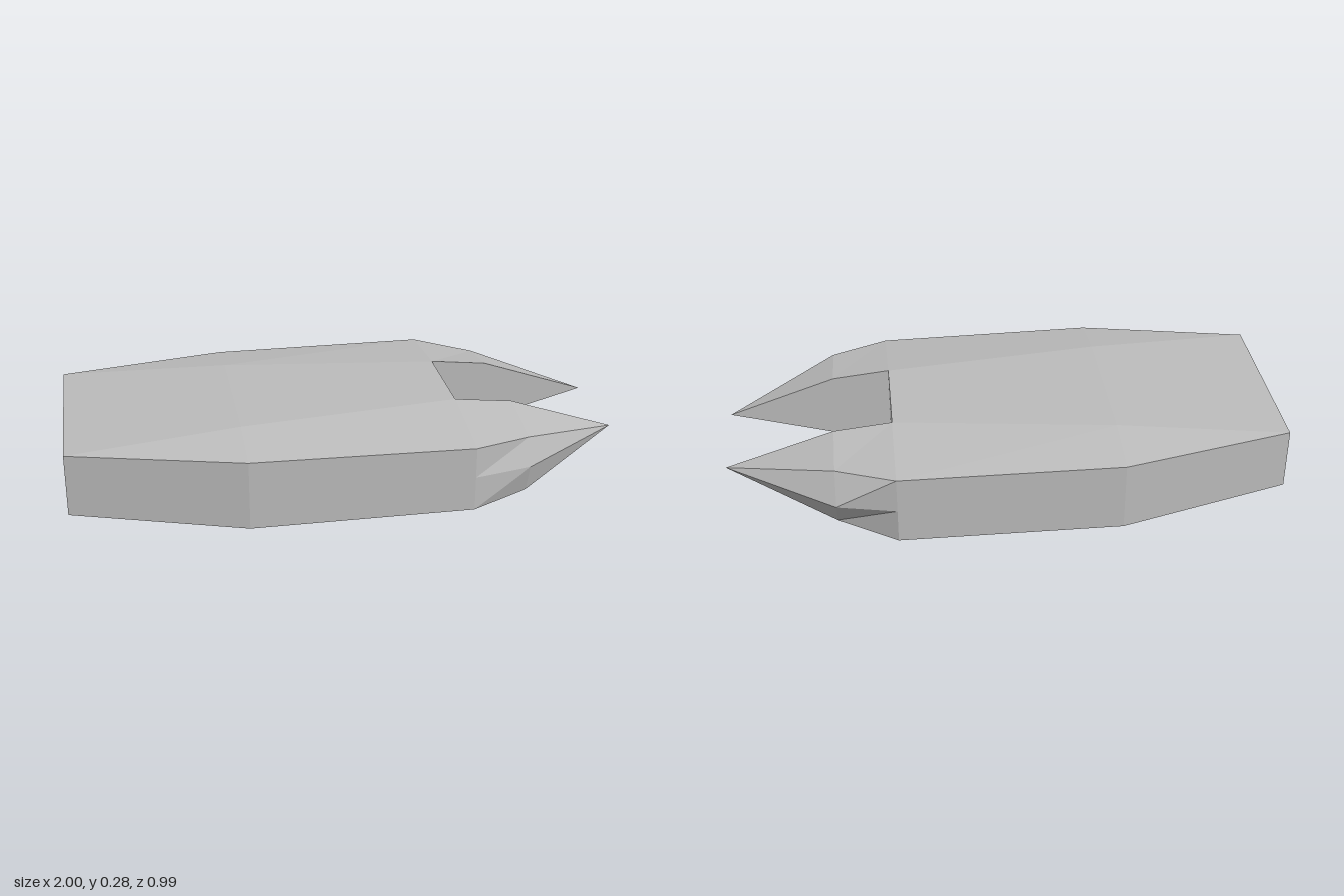
import * as THREE from 'three';

const hullGrey = new THREE.MeshStandardMaterial({ color: 0xbcbcbc, flatShading: true });
hullGrey.name = 'hullGrey';

// Skins cross-sections {x, ring: [[y, z], ...]}; rings run counter-clockwise seen from +x
function loft(name, sections, capStart) {
  const pos = [];
  const tri = (...pts) => pts.forEach((p) => pos.push(...p));
  const rings = sections.map((s) => s.ring.map(([y, z]) => [s.x, y, z]));
  const n = rings[0].length;
  for (let k = 0; k < rings.length - 1; k++) {
    const a = rings[k], b = rings[k + 1];
    for (let i = 0; i < n; i++) {
      const j = (i + 1) % n;
      tri(a[i], a[j], b[i]);
      tri(a[j], b[j], b[i]);
    }
  }
  if (capStart) for (let i = 1; i < n - 1; i++) tri(rings[0][0], rings[0][i + 1], rings[0][i]);
  const geo = new THREE.BufferGeometry();
  geo.setAttribute('position', new THREE.Float32BufferAttribute(pos, 3));
  geo.computeVertexNormals();
  const mesh = new THREE.Mesh(geo, hullGrey);
  mesh.name = name;
  return mesh;
}

// Hull section: flat bottom, upright sides, sloped shoulders, flat deck
const hullSection = (x, bottom, width, leftEdge, rightEdge, deckHalf, deckY) => ({
  x,
  ring: [
    [bottom, width], [bottom, -width], [rightEdge, -width],
    [deckY, -deckHalf], [deckY, deckHalf], [leftEdge, width],
  ],
});

// Pointed prong on one side (+1 left, -1 right)
function prong(name, side, edgeY, ridgeZ, topY) {
  const section = (x, pts) => {
    const ring = pts.map(([y, z]) => [y, z * side]);
    return { x, ring: side > 0 ? ring : ring.reverse() };
  };
  return loft(name, [
    section(0.4, [[0, 0.18], [0.285, 0.18], [edgeY, 0.495], [0.125, 0.495], [0, 0.495]]),
    section(0.61, [[0.022, 0.18], [0.262, 0.18], [topY, ridgeZ], [0.13, 0.457], [0.022, ridgeZ]]),
    section(1, Array(5).fill([0.13, 0.176])),
  ], false);
}

export function createModel() {
  const model = new THREE.Group();
  model.name = 'forkedHull';

  model.add(loft('hull', [
    hullSection(-1, 0.035, 0.355, 0.26, 0.26, 0.355, 0.26),
    hullSection(-0.39, 0, 0.495, 0.25, 0.252, 0.28, 0.285),
    hullSection(0.4, 0, 0.495, 0.237, 0.252, 0.18, 0.285),
  ], true));

  model.add(prong('leftProng', 1, 0.237, 0.418, 0.228));
  model.add(prong('rightProng', -1, 0.252, 0.385, 0.232));

  // Wall at the back of the notch between the prongs
  const wall = new THREE.Mesh(new THREE.PlaneGeometry(0.36, 0.285), hullGrey);
  wall.name = 'notchWall';
  wall.rotation.y = Math.PI / 2;
  wall.position.set(0.4, 0.1425, 0);
  model.add(wall);

  return model;
}
